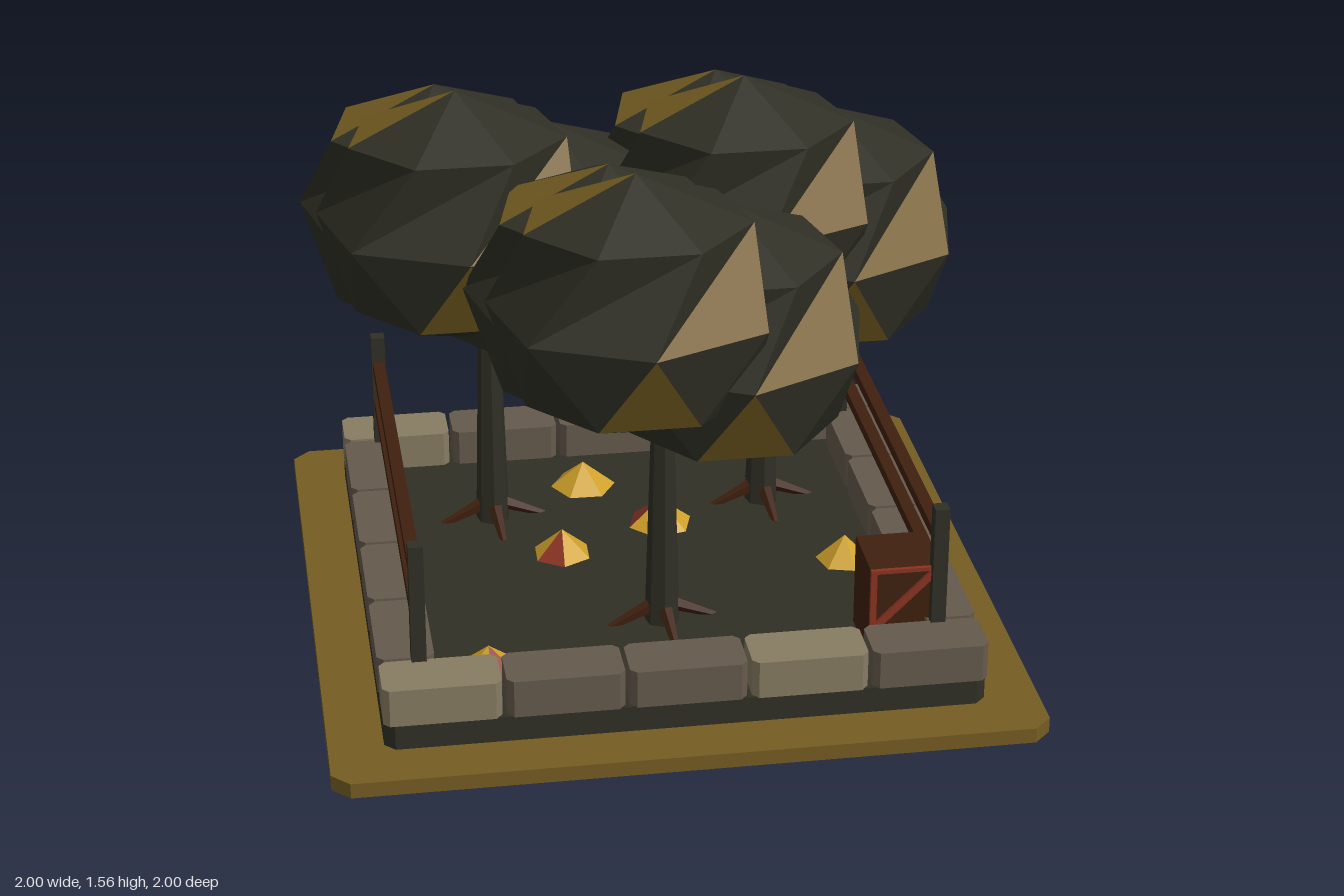
import * as THREE from 'three';

const mat = (name, color) => {
  const m = new THREE.MeshStandardMaterial({ color });
  m.name = name;
  m.flatShading = true;
  return m;
};

export function createModel() {
  const root = new THREE.Group();
  root.name = 'autumnGarden';
  const M = {
    dark: mat('darkLeafAndEarth', 0x2f2f25),
    gold: mat('ochre', 0x755c22),
    stone: mat('stone', 0x65594c),
    paleStone: mat('paleStone', 0x877b62),
    brown: mat('brownWood', 0x3f200e),
    red: mat('rustRed', 0x8a3322),
    yellow: mat('yellowLeaf', 0xcfa029),
  };
  const add = (parent, name, geo, material, x = 0, y = 0, z = 0) => {
    const mesh = new THREE.Mesh(geo, material);
    mesh.name = name;
    mesh.position.set(x, y, z);
    parent.add(mesh);
    return mesh;
  };
  const box = (w, h, d) => new THREE.BoxGeometry(w, h, d);

  // Block with cut vertical corners, standing on its origin
  const cutBlock = (w, h, d, c) => {
    const a = w / 2, b = d / 2;
    const pts = [[-a + c, -b], [a - c, -b], [a, -b + c], [a, b - c], [a - c, b], [-a + c, b], [-a, b - c], [-a, -b + c]];
    const shape = new THREE.Shape(pts.map(([x, y]) => new THREE.Vector2(x, y)));
    return new THREE.ExtrudeGeometry(shape, { depth: h, bevelEnabled: false }).rotateX(-Math.PI / 2);
  };

  // Base and earth bed
  add(root, 'base', cutBlock(2, 0.045, 2, 0.05), M.gold);
  add(root, 'earthBed', cutBlock(1.69, 0.077, 1.69, 0.03), M.dark, 0, 0.045, 0);

  // Stone border
  const wall = new THREE.Group();
  wall.name = 'stoneBorder';
  root.add(wall);
  for (const s of [-1, 1]) {
    for (let i = 0; i < 5; i++) {
      add(wall, 'endStone', cutBlock(0.328, 0.112, 0.16, 0.018), i % 3 ? M.stone : M.paleStone, (i - 2) * 0.341, 0.12, s * 0.768);
    }
    for (let i = 0; i < 4; i++) {
      add(wall, 'sideStone', cutBlock(0.16, 0.112, 0.328, 0.018), M.stone, s * 0.768, 0.12, (i - 1.5) * 0.341);
    }
  }

  // Side fences
  for (const s of [-1, 1]) {
    const fence = new THREE.Group();
    fence.name = s < 0 ? 'rightFence' : 'leftFence';
    root.add(fence);
    for (const z of [-0.68, 0.68]) add(fence, 'post', box(0.042, 0.47, 0.042), M.dark, s * 0.733, 0.355, z);
    for (const y of [0.37, 0.497]) add(fence, 'rail', box(0.036, 0.032, 1.34), M.brown, s * 0.733, y, 0);
  }

  // Crate with a braced front
  const crate = new THREE.Group();
  crate.name = 'crate';
  crate.position.set(0.64, 0, 0.57);
  root.add(crate);
  add(crate, 'crateBody', box(0.2, 0.28, 0.2), M.brown, 0, 0.26, 0);
  for (const s of [-1, 1]) {
    add(crate, 'crateUpright', box(0.018, 0.28, 0.014), M.red, s * 0.091, 0.26, 0.105);
    add(crate, 'crateCrossbar', box(0.164, 0.012, 0.012), M.red, 0, 0.26 + s * 0.134, 0.105);
  }
  add(crate, 'crateBrace', box(0.25, 0.02, 0.012), M.red, 0, 0.3, 0.105).rotation.z = 0.78;

  // Seven-sided leaf ball; every other ring is turned by half a step
  const N = 7;
  const profile = [[0, 0.385], [0.32, 0.252], [0.415, 0], [0.32, -0.252], [0, -0.385]];
  const goldFaces = new Set(['0b4', '1b0', '1b2', '1b4', '2b6', '3a0']);
  const leafBall = () => {
    const p = (i, j) => {
      const t = ((j + (i % 2) / 2) * 2 * Math.PI) / N;
      return [profile[i][0] * Math.sin(t), profile[i][1], profile[i][0] * Math.cos(t)];
    };
    const faces = [[], []];
    for (let i = 0; i < 4; i++) {
      for (let j = 0; j < N; j++) {
        if (i > 0) faces[+goldFaces.has(i + 'a' + j)].push(...p(i, j), ...p(i + 1, j), ...p(i, j + 1));
        if (i < 3) faces[+goldFaces.has(i + 'b' + j)].push(...p(i, j + 1), ...p(i + 1, j), ...p(i + 1, j + 1));
      }
    }
    const g = new THREE.BufferGeometry();
    g.setAttribute('position', new THREE.Float32BufferAttribute(faces.flat(), 3));
    g.addGroup(0, faces[0].length / 3, 0);
    g.addGroup(faces[0].length / 3, faces[1].length / 3, 1);
    g.computeVertexNormals();
    return g;
  };
  const ball = leafBall();
  const trunk = new THREE.CylinderGeometry(0.03, 0.052, 0.78, 7);
  const rootArm = new THREE.CylinderGeometry(0.01, 0.024, 0.16, 5).rotateZ(-Math.PI / 2 - 0.42).translate(0.085, 0.148, 0);

  // Trees
  for (const [x, z] of [[-0.42, -0.32], [0.415, -0.32], [-0.003, 0.375]]) {
    const tree = new THREE.Group();
    tree.name = 'tree';
    tree.position.set(x, 0, z);
    root.add(tree);
    add(tree, 'trunk', trunk, M.dark, 0, 0.5, 0);
    for (let i = 0; i < 4; i++) add(tree, 'root', rootArm, M.brown).rotation.y = (i * Math.PI) / 2 + 0.1;
    add(tree, 'upperLeaves', ball, [M.dark, M.gold], -0.095, 1.18, 0.125).scale.z = 0.9;
    add(tree, 'rearLeaves', ball, [M.dark, M.gold], -0.13, 1.1, -0.15);
    add(tree, 'lowerLeaves', ball, [M.dark, M.gold], 0.188, 1.015, -0.02).scale.x = 0.97;
  }

  // Fallen leaf piles: low cones with one red face
  const piles = [[-0.53, 0.59, 0.1], [0.59, 0.1, 0.085], [-0.12, -0.49, 0.1], [0.08, -0.21, 0.1], [-0.24, -0.06, 0.09]];
  piles.forEach(([x, z, r], n) => {
    const pile = new THREE.Group();
    pile.name = 'leafPile';
    pile.position.set(x, 0.162, z);
    pile.rotation.y = n * 1.3;
    root.add(pile);
    const step = Math.PI / 3;
    add(pile, 'yellowLeaves', new THREE.ConeGeometry(r, 0.08, 5, 1, true, step, step * 5), M.yellow);
    add(pile, 'redLeaves', new THREE.ConeGeometry(r, 0.08, 1, 1, true, 0, step), M.red);
  });
  return root;
}
